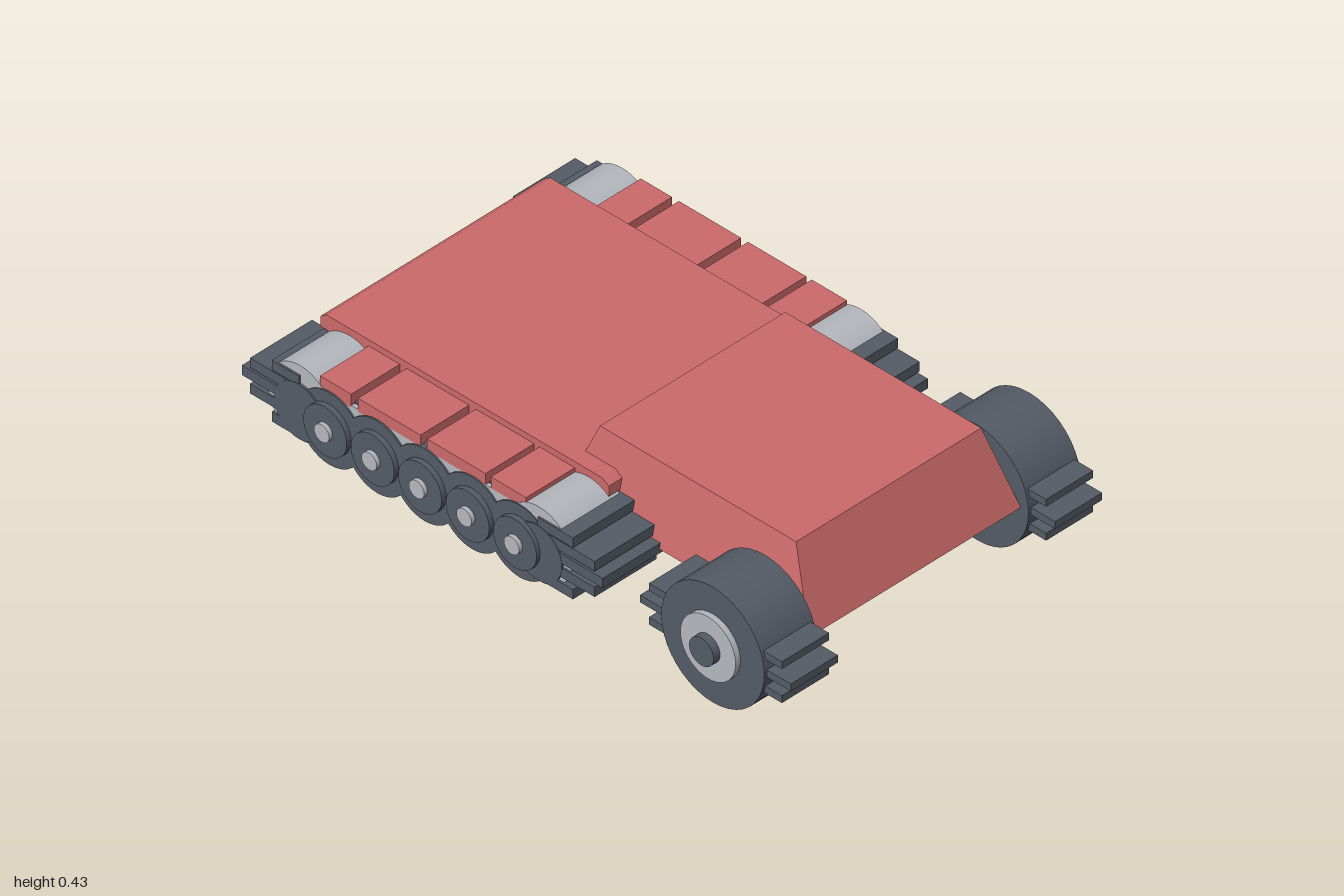
import * as THREE from 'three';

const red = new THREE.MeshStandardMaterial({ color: 0xcc6a6a, name: 'red paint' });
const dark = new THREE.MeshStandardMaterial({ color: 0x545b66, name: 'dark rubber' });
const light = new THREE.MeshStandardMaterial({ color: 0xb4b8be, name: 'light metal' });

function add(parent, name, geometry, material) {
  const mesh = new THREE.Mesh(geometry, material);
  mesh.name = name;
  parent.add(mesh);
  return mesh;
}

// box given by its limits on each axis
function box(parent, name, material, [x0, x1], [y0, y1], [z0, z1]) {
  const g = new THREE.BoxGeometry(x1 - x0, y1 - y0, z1 - z0);
  g.translate((x0 + x1) / 2, (y0 + y1) / 2, (z0 + z1) / 2);
  return add(parent, name, g, material);
}

// cylinder lying along x
function drum(parent, name, material, r, [x0, x1], y, z) {
  const g = new THREE.CylinderGeometry(r, r, x1 - x0, 40);
  g.rotateZ(-Math.PI / 2);
  g.translate((x0 + x1) / 2, y, z);
  return add(parent, name, g, material);
}

// side outline of [z, y] points, extruded across x
function slab(parent, name, material, points, halfWidth) {
  const shape = new THREE.Shape(points.map(([z, y]) => new THREE.Vector2(-z, y)));
  const g = new THREE.ExtrudeGeometry(shape, { depth: halfWidth * 2, bevelEnabled: false });
  g.translate(0, 0, -halfWidth);
  g.rotateY(Math.PI / 2);
  return add(parent, name, g, material);
}

// front wheel with hub, cap and lugs, on the +x or -x side
function frontWheel(s) {
  const wheel = new THREE.Group();
  wheel.name = s > 0 ? 'leftFrontWheel' : 'rightFrontWheel';
  const span = (a, b) => (s > 0 ? [a, b] : [-b, -a]);
  const y = 0.195, z = 0.72;
  drum(wheel, 'tyre', dark, 0.19, span(0.398, 0.595), y, z);
  drum(wheel, 'hub', light, 0.102, span(0.5, 0.613), y, z);
  drum(wheel, 'hubCap', dark, 0.045, span(0.5, 0.638), y, z);
  for (const [dy, reach] of [[-0.056, 0.245], [0, 0.278], [0.056, 0.245]]) {
    box(wheel, 'lug', dark, span(0.408, 0.585), [y + dy - 0.012, y + dy + 0.012], [z - reach, z + reach]);
  }
  return wheel;
}

// track unit: end drums, road wheels, lugs and fender panels
function track(s) {
  const unit = new THREE.Group();
  unit.name = s > 0 ? 'leftTrack' : 'rightTrack';
  const span = (a, b) => (s > 0 ? [a, b] : [-b, -a]);
  box(unit, 'trackCore', dark, span(0.385, 0.59), [0.13, 0.292], [-0.79, 0.09]);
  box(unit, 'sideRail', light, span(0.4, 0.603), [0.25, 0.288], [-0.79, 0.09]);

  for (const [z, dir] of [[0.09, 1], [-0.79, -1]]) {
    drum(unit, 'endDrum', light, 0.122, span(0.385, 0.605), 0.2, z);
    drum(unit, 'endDisc', dark, 0.09, span(0.39, 0.612), 0.175, z);
    for (const [y, reach] of [[0.275, 0.13], [0.24, 0.21], [0.2, 0.24], [0.155, 0.21], [0.105, 0.13]]) {
      box(unit, 'trackLug', dark, span(0.378, 0.611), [y - 0.016, y + 0.016],
        [z, z + dir * (reach - (dir < 0 && reach === 0.24 ? 0.03 : dir < 0 ? 0.03 : 0))].sort((a, b) => a - b));
    }
  }

  for (let i = 0; i < 5; i++) {
    const z = 0.02 - i * 0.175;
    drum(unit, 'roadWheel', dark, 0.119, span(0.385, 0.608), 0.174, z);
    drum(unit, 'wheelRim', dark, 0.08, span(0.55, 0.625), 0.175, z);
    drum(unit, 'wheelCap', light, 0.028, span(0.55, 0.638), 0.175, z);
  }

  // panels separated by narrow dark gaps
  for (const [z0, z1] of [[-0.72, -0.605], [-0.58, -0.35], [-0.325, -0.11], [-0.09, 0.04]]) {
    box(unit, 'fenderPanel', red, span(0.4, 0.603), [0.28, 0.325], [z0, z1]);
  }
  return unit;
}

export function createModel() {
  const model = new THREE.Group();
  model.name = 'halfTrackVehicle';

  // hull and the wider deck on top of it
  slab(model, 'hull', red, [[0.16, 0.2], [0.16, 0.32], [-0.885, 0.32], [-0.885, 0.2]].reverse(), 0.385);
  slab(model, 'deck', red, [[0.165, 0.295], [0.165, 0.33], [0.14, 0.345], [-0.875, 0.345],
    [-0.897, 0.33], [-0.897, 0.295]].reverse(), 0.42);

  // cab with sloped sides
  const cab = new THREE.BoxGeometry(1, 1, 1);
  const p = cab.attributes.position;
  for (let i = 0; i < p.count; i++) {
    const top = p.getY(i) > 0, front = p.getZ(i) > 0;
    const z = front ? (top ? 0.785 : 0.882) : (top ? 0.062 : -0.03);
    p.setXYZ(i, Math.sign(p.getX(i)) * (top ? 0.348 : 0.398), top ? 0.436 : 0.198, z);
  }
  cab.computeVertexNormals();
  add(model, 'cab', cab, red);

  // front axle and its central housing
  drum(model, 'frontAxle', dark, 0.053, [-0.45, 0.45], 0.195, 0.72);
  const housing = new THREE.SphereGeometry(1, 32, 16);
  housing.scale(0.065, 0.024, 0.07);
  housing.translate(0, 0.196, 0.72);
  add(model, 'axleHousing', housing, light);

  for (const s of [1, -1]) model.add(frontWheel(s), track(s));
  return model;
}
